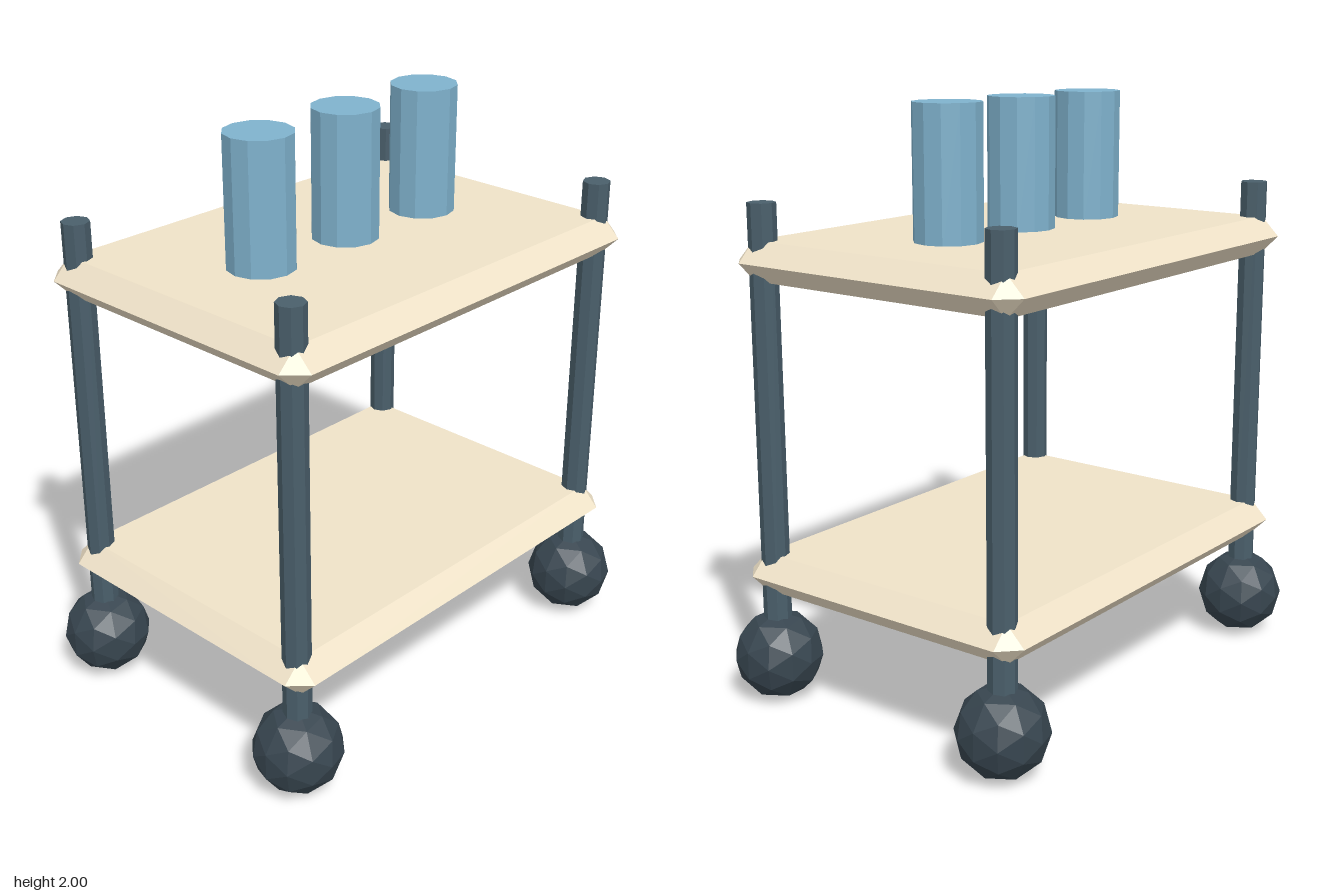
import * as THREE from 'three';
import { ConvexGeometry } from 'three/addons/geometries/ConvexGeometry.js';

const material = (color) => new THREE.MeshStandardMaterial({ color, flatShading: true });

// Slab with pointed edges and clipped corners: a box core widened by b along each axis
function bevelledSlab(halfX, halfZ, b) {
  const points = [];
  for (const sx of [-1, 1]) {
    for (const sz of [-1, 1]) {
      const x = sx * halfX, z = sz * halfZ;
      points.push(
        new THREE.Vector3(x, b, z),
        new THREE.Vector3(x, -b, z),
        new THREE.Vector3(x + sx * b, 0, z),
        new THREE.Vector3(x, 0, z + sz * b),
      );
    }
  }
  return new ConvexGeometry(points);
}

export function createModel() {
  const group = new THREE.Group();
  const wood = material(0xefe2c8);
  const steel = material(0x4a5f6b);
  const rubber = material(0x37454f);
  const blue = material(0x7fb2cd);

  const add = (name, geometry, mat, x, y, z) => {
    const mesh = new THREE.Mesh(geometry, mat);
    mesh.name = name;
    mesh.position.set(x, y, z);
    group.add(mesh);
  };

  // Two shelves
  const shelf = bevelledSlab(0.743, 0.508, 0.066);
  add('lowerShelf', shelf, wood, 0, 0.443, 0);
  add('upperShelf', shelf, wood, 0, 1.496, 0);

  // Corner posts and ball casters
  const post = new THREE.CylinderGeometry(0.047, 0.047, 1.435, 8);
  const caster = new THREE.IcosahedronGeometry(0.151, 1);
  caster.rotateX(Math.atan(2 / (1 + Math.sqrt(5)))).rotateZ(Math.PI / 2);
  for (const [side, x] of [['Left', 0.728], ['Right', -0.728]]) {
    for (const [end, z] of [['front', 0.48], ['back', -0.48]]) {
      add(`${end}${side}Post`, post, steel, x, 0.9675, z);
      add(`${end}${side}Caster`, caster, rubber, x, 0.151, z);
    }
  }

  // Row of canisters on the upper shelf
  const canister = new THREE.CylinderGeometry(0.114, 0.114, 0.46, 12);
  [-0.382, 0, 0.382].forEach((x, i) => add(`canister${i + 1}`, canister, blue, x, 1.77, 0));

  return group;
}
